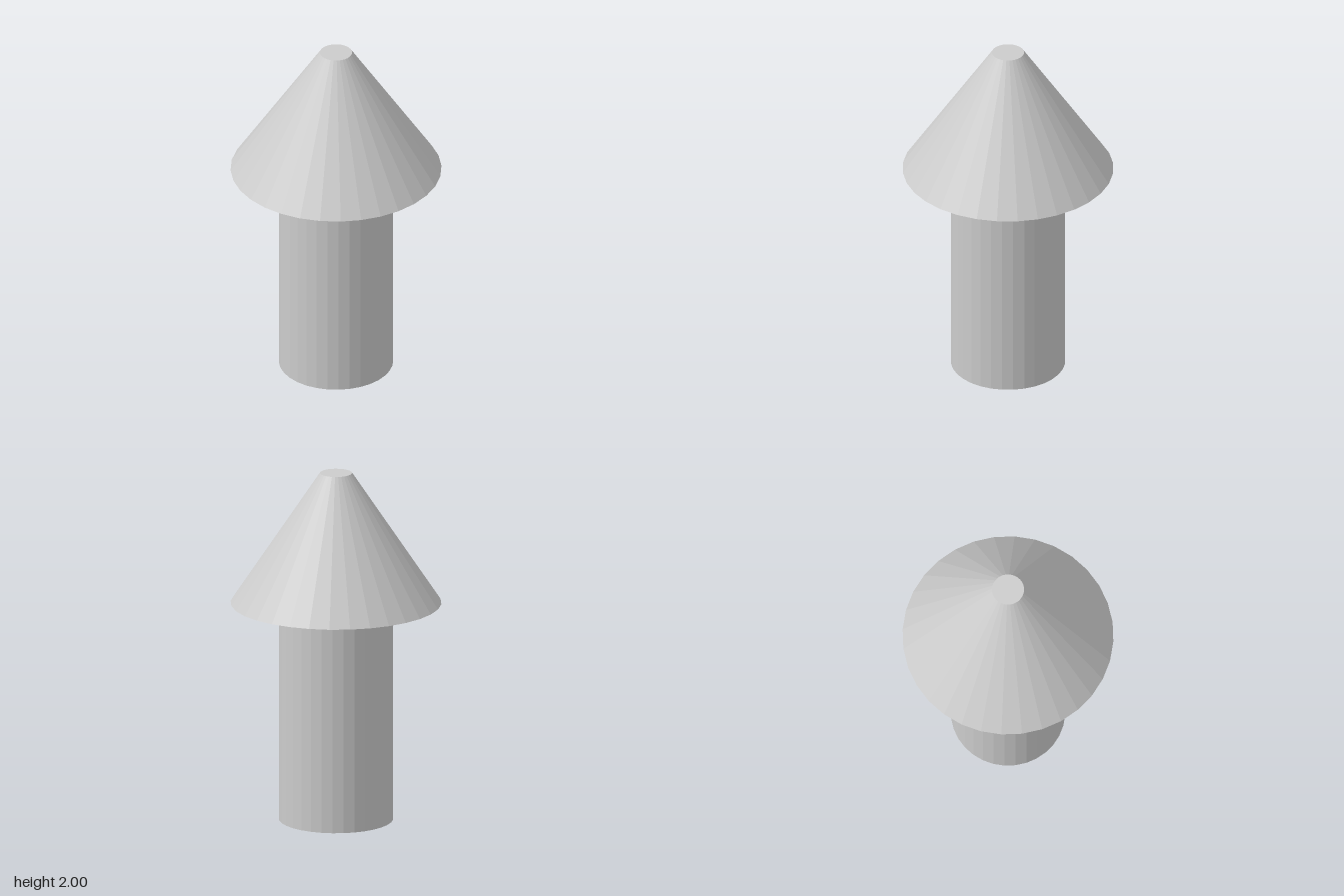
import * as THREE from 'three';

const SIDES = 32;

export function createModel() {
  const model = new THREE.Group();
  const material = new THREE.MeshStandardMaterial({ color: 0xcccccc, flatShading: true });

  // Faceted solid of revolution standing on height y
  function addRound(name, topRadius, bottomRadius, y, height) {
    const geometry = new THREE.CylinderGeometry(topRadius, bottomRadius, height, SIDES);
    const mesh = new THREE.Mesh(geometry, material);
    mesh.name = name;
    mesh.position.y = y + height / 2;
    model.add(mesh);
  }

  // Straight round column
  addRound('column', 0.32, 0.32, 0, 1.25);
  // Overhanging cone with a flat tip
  addRound('coneCap', 0.09, 0.59, 1.25, 0.75);

  return model;
}
